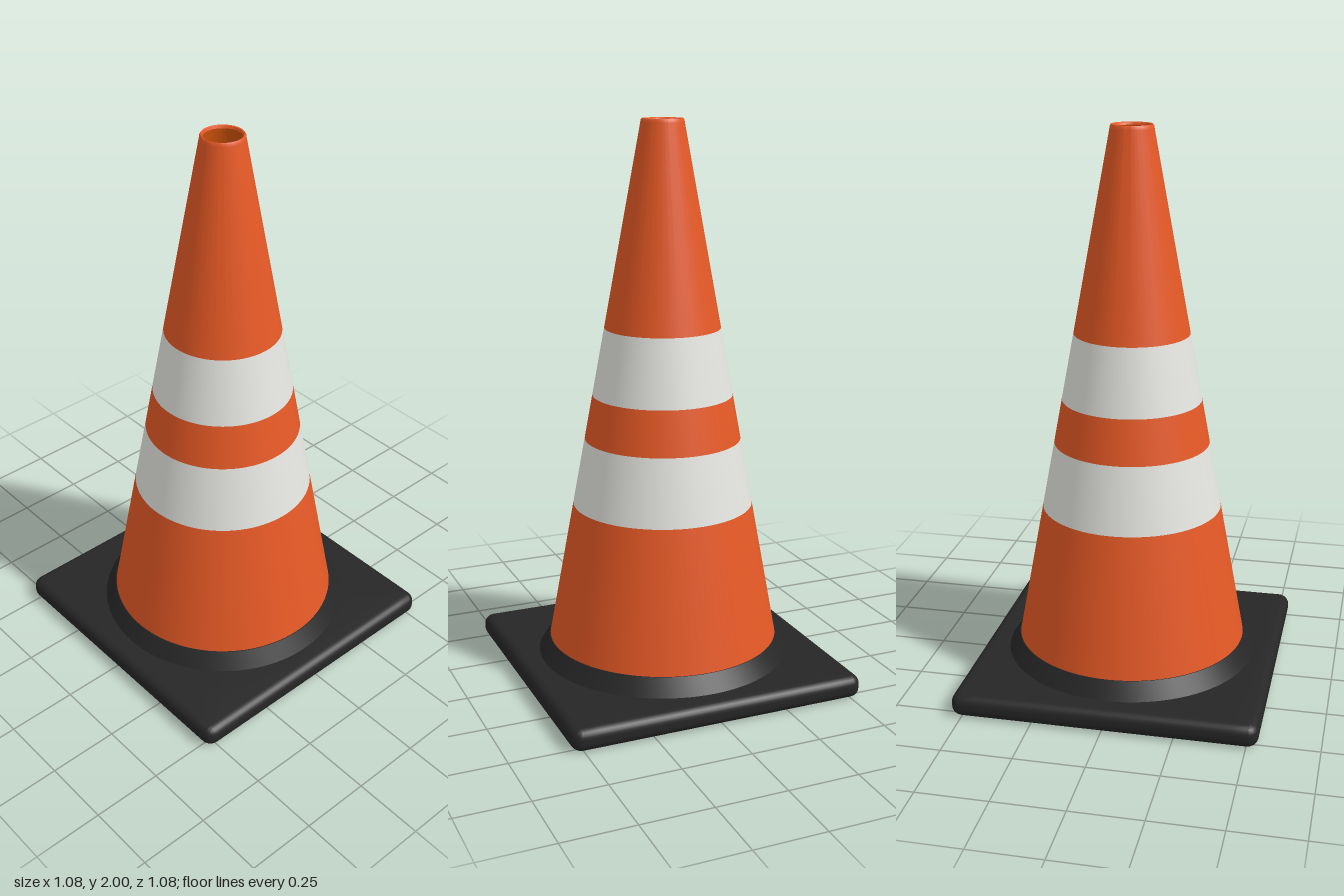
import * as THREE from 'three';
import { toCreasedNormals } from 'three/addons/utils/BufferGeometryUtils.js';

const SEGMENTS = 96;
const HOLE = 0.415;

const material = (name, color) => {
  const m = new THREE.MeshStandardMaterial({ color });
  m.name = name;
  return m;
};

// Outline of the rounded square plate, shrunk by inset
function plateOutline(inset) {
  const core = 0.5, radius = 0.04 - inset, points = [];
  for (let corner = 0; corner < 4; corner++) {
    const start = corner * Math.PI / 2, mid = start + Math.PI / 4;
    const cx = core * Math.SQRT2 * Math.cos(mid), cz = core * Math.SQRT2 * Math.sin(mid);
    for (let i = 0; i <= 8; i++) {
      const a = start + i / 8 * Math.PI / 2;
      points.push([cx + radius * Math.cos(a), cz + radius * Math.sin(a)]);
    }
    // straight side, subdivided so the round hole stays smooth
    const [x, z] = points[points.length - 1];
    for (let i = 1; i < 20; i++) {
      const t = i / 20 * 2 * core;
      points.push([x - Math.sin(mid + Math.PI / 4) * t, z + Math.cos(mid + Math.PI / 4) * t]);
    }
  }
  return points;
}

// Plate with rounded edges and a round hole, skinned from loops
function plateGeometry() {
  const height = 0.08, edge = 0.032;
  const circle = (y) => plateOutline(0).map(([x, z]) => {
    const a = Math.atan2(z, x);
    return [HOLE * Math.cos(a), y, HOLE * Math.sin(a)];
  });
  const rings = [circle(0)];
  for (const top of [0, 1]) {
    for (let i = 0; i <= 6; i++) {
      const a = (i / 6 - 1 + top) * Math.PI / 2;
      const y = (top ? height - edge : edge) + edge * Math.sin(a);
      rings.push(plateOutline(edge * (1 - Math.cos(a))).map(([x, z]) => [x, y, z]));
    }
  }
  rings.push(circle(height), circle(0));

  const n = rings[0].length, index = [];
  for (let r = 0; r < rings.length - 1; r++) {
    for (let i = 0; i < n; i++) {
      const j = (i + 1) % n, a = r * n + i, b = r * n + j;
      index.push(a, a + n, b, b, a + n, b + n);
    }
  }
  const geometry = new THREE.BufferGeometry();
  geometry.setAttribute('position', new THREE.Float32BufferAttribute(rings.flat(2), 3));
  geometry.setIndex(index);
  return toCreasedNormals(geometry, 0.6);
}

export function createModel() {
  const orange = material('orange plastic', 0xe85a26);
  const white = material('reflective white', 0xe6e6e2);
  const black = material('black rubber', 0x262626);
  const inner = material('inner orange', 0xd4540c);
  inner.side = THREE.DoubleSide;

  const model = new THREE.Group();
  model.name = 'trafficCone';
  const add = (name, geometry, mat) => {
    const mesh = new THREE.Mesh(geometry, mat);
    mesh.name = name;
    model.add(mesh);
  };
  const lathe = (points) => toCreasedNormals(
    new THREE.LatheGeometry(points.map(([r, y]) => new THREE.Vector2(r, y)), SEGMENTS), 0.6);

  // Base plate and the sloped collar on it
  add('basePlate', plateGeometry(), black);
  add('collar', lathe([[0.458, 0.078], [0.418, 0.14], [0.405, 0.14]]), black);

  // Cone wall, split at the stripe edges
  const radiusAt = (y) => THREE.MathUtils.mapLinear(y, 0.14, 1.985, 0.415, 0.076);
  const levels = [0.14, 0.64, 0.88, 1.04, 1.28, 1.985];
  const names = ['lowerCone', 'lowerStripe', 'middleCone', 'upperStripe', 'upperCone'];
  names.forEach((name, i) => {
    const [y0, y1] = [levels[i], levels[i + 1]];
    add(name, lathe([[radiusAt(y0), y0], [radiusAt(y1), y1]]), i % 2 ? white : orange);
  });

  // Rounded rim around the open tip
  add('rim', lathe([[0.076, 1.985], [0.0745, 1.995], [0.071, 2], [0.067, 1.998], [0.064, 1.99]]), orange);

  // Hollow inside
  add('innerWall', lathe([[0.064, 1.99], [HOLE, 0.08]]), inner);
  return model;
}
